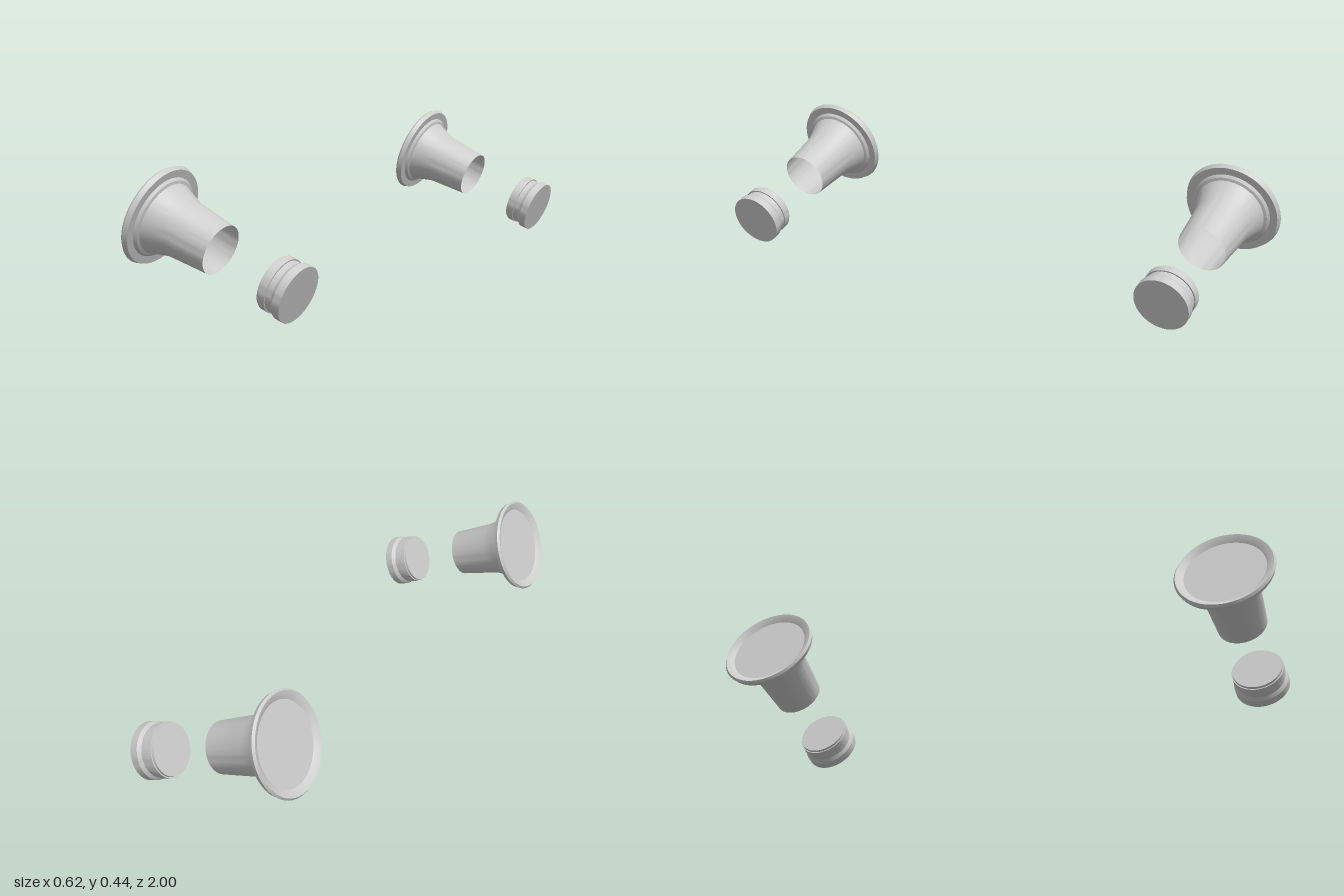
import * as THREE from 'three';
import { toCreasedNormals } from 'three/addons/utils/BufferGeometryUtils.js';

// Turned part: [radius, distance along the axis], listed from mouth to tail
function turned(name, profile, material) {
  const points = profile.map(([r, s]) => new THREE.Vector2(r, s));
  const geometry = toCreasedNormals(new THREE.LatheGeometry(points, 64), 0.5);
  const mesh = new THREE.Mesh(geometry, material);
  mesh.name = name;
  return mesh;
}

export function createModel() {
  const model = new THREE.Group();
  const grey = new THREE.MeshStandardMaterial({ color: 0xcccccc, side: THREE.DoubleSide });
  grey.name = 'light grey';

  // Flared bell: closed recessed mouth, thick rim, open narrow tail
  const bell = [
    [0, -0.323], [0.137, -0.323], [0.15, -0.332], [0.163, -0.337],
    [0.169, -0.329], [0.163, -0.313], [0.137, -0.313],
    [0.13, -0.304], [0.1205, -0.301], [0.108, -0.265], [0.096, -0.226], [0.084, -0.076],
  ];

  // Grooved end cap, closed on both sides
  const cap = [
    [0, 0.138], [0.086, 0.138], [0.087, 0.146], [0.091, 0.146], [0.091, 0.17],
    [0.0865, 0.17], [0.0865, 0.19], [0.095, 0.202], [0.095, 0.229], [0, 0.229],
  ];

  // One tilted bell and cap on each side
  for (const side of [1, -1]) {
    const unit = new THREE.Group();
    unit.name = side > 0 ? 'frontUnit' : 'backUnit';
    unit.add(turned('bell', bell, grey), turned('endCap', cap, grey));
    unit.rotation.z = -THREE.MathUtils.degToRad(110);
    unit.position.set(0.0616, 0.1695, side * 0.831);
    model.add(unit);
  }
  return model;
}
